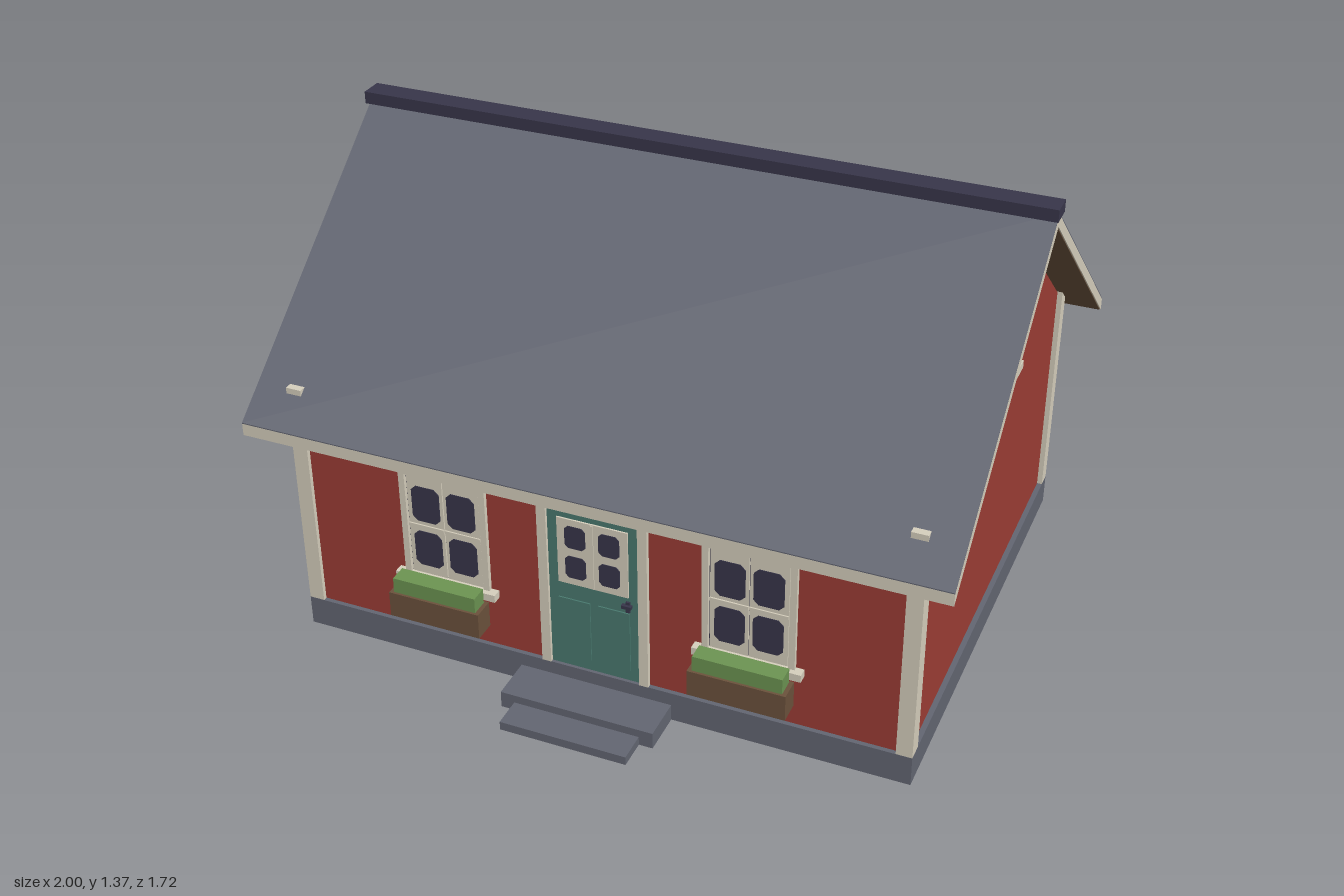
import * as THREE from 'three';

const mat = (name, color, side = THREE.FrontSide) => {
  const m = new THREE.MeshStandardMaterial({ color, side });
  m.name = name;
  return m;
};

export function createModel() {
  const red = mat('red boards', 0x9c3d35);
  const cream = mat('cream trim', 0xd6cfbd);
  const slate = mat('slate', 0x636672, THREE.DoubleSide);
  const navy = mat('dark navy', 0x38364a);
  const teal = mat('teal door', 0x4a7a70);
  const brown = mat('brown wood', 0x6b523c);
  const green = mat('plants', 0x6c9452);

  const model = new THREE.Group();
  model.name = 'cottage';
  const house = new THREE.Group();
  house.name = 'house';
  house.position.z = -0.0625;
  model.add(house);

  const W = 0.885, D = 0.7, BASE = 0.09; // half width, half depth, plinth top
  const PITCH = 0.805, PEAK = 1.343;

  const add = (parent, name, geo, material) => {
    const mesh = new THREE.Mesh(geo, material);
    mesh.name = name;
    parent.add(mesh);
    return mesh;
  };
  // Box given by its extents on each axis
  const box = (parent, name, material, x0, x1, y0, y1, z0, z1) => {
    const geo = new THREE.BoxGeometry(x1 - x0, y1 - y0, z1 - z0);
    geo.translate((x0 + x1) / 2, (y0 + y1) / 2, (z0 + z1) / 2);
    return add(parent, name, geo, material);
  };
  // Box without its underside
  const openBox = (...args) => {
    const mesh = box(...args);
    const index = Array.from(mesh.geometry.index.array);
    index.splice(18, 6);
    mesh.geometry.setIndex(index);
    mesh.geometry.clearGroups();
    return mesh;
  };
  // Outline in (depth, height) extruded along the length of the house
  const prism = (name, pts, halfLength, material) => {
    const shape = new THREE.Shape(pts.map(([x, y]) => new THREE.Vector2(x, y)));
    const geo = new THREE.ExtrudeGeometry(shape, { depth: halfLength * 2, bevelEnabled: false });
    geo.translate(0, 0, -halfLength);
    geo.rotateY(Math.PI / 2);
    return add(house, name, geo, material);
  };

  // Plinth, walls and corner boards
  openBox(house, 'plinth', slate, -0.9, 0.9, 0, BASE, -0.7125, 0.7125);
  const foot = BASE + 0.0005, wallPeak = PEAK - 0.042;
  const wallTop = wallPeak - D * PITCH;
  prism('walls', [[-D, foot], [D, foot], [D, wallTop], [0, wallPeak], [-D, wallTop]], W, red);
  for (const sx of [-1, 1]) for (const sz of [-1, 1]) {
    const x = sx * 0.8775, z = sz * 0.688;
    box(house, 'cornerBoard', cream, x - 0.0225, x + 0.0225, foot, 0.79, z - 0.0245, z + 0.0245);
  }

  // Roof: bargeboard body, slate skin above, wooden soffit below
  const roofLayer = (name, top, thick, half, length, material) => prism(name, [
    [-half, top - half * PITCH - thick], [0, top - thick], [half, top - half * PITCH - thick],
    [half, top - half * PITCH], [0, top], [-half, top - half * PITCH],
  ], length, material);
  roofLayer('roofBody', PEAK, 0.036, 0.797, 0.995, cream);
  roofLayer('roofSlates', PEAK + 0.003, 0.003, 0.797, 0.995, slate);
  roofLayer('soffit', PEAK - 0.036, 0.003, 0.794, 0.992, brown);
  box(house, 'ridgeCap', navy, -1, 1, 1.335, 1.37, -0.035, 0.035);

  // Thin glass pane with clipped corners
  const pane = (parent, x, y, w, h, z) => {
    const a = w / 2, b = h / 2, c = w * 0.17;
    const pts = [[-a + c, -b], [a - c, -b], [a, -b + c], [a, b - c],
      [a - c, b], [-a + c, b], [-a, b - c], [-a, -b + c]];
    const shape = new THREE.Shape(pts.map(([px, py]) => new THREE.Vector2(px, py)));
    const geo = new THREE.ExtrudeGeometry(shape, { depth: 0.003, bevelEnabled: false });
    geo.translate(x, y, z);
    add(parent, 'pane', geo, navy);
  };
  const fourPanes = (parent, cx, cy, dx, dy, w, h, z) => {
    for (const sx of [-1, 1]) for (const sy of [-1, 1]) {
      pane(parent, cx + sx * dx, cy + sy * dy, w, h, z);
    }
  };

  // Window with its centre at the origin, facing +z; w and h are half sizes of the frame
  const makeWindow = (w, h) => {
    const g = new THREE.Group();
    g.name = 'window';
    box(g, 'windowBack', navy, -w + 0.01, w - 0.01, -h, h, -0.005, 0.002);
    for (const s of [-1, 1]) {
      const t = s * (w - 0.009);
      box(g, 'sideTrim', cream, t - 0.009, t + 0.009, -h, h, -0.005, 0.013);
      const c = s * (w - 0.02) / 2, half = (w - 0.02) / 2 - 0.0015;
      box(g, 'sash', cream, c - half, c + half, -h + 0.002, h - 0.022, -0.004, 0.007);
      box(g, 'glazingBar', cream, c - half, c + half, -0.016, -0.006, 0, 0.011);
    }
    box(g, 'topTrim', cream, -w, w, h - 0.018, h, -0.005, 0.014);
    box(g, 'header', cream, -w - 0.025, w + 0.025, h, h + 0.025, -0.005, 0.023);
    box(g, 'sill', cream, -w - 0.023, w + 0.023, -h - 0.023, -h, -0.005, 0.028);
    fourPanes(g, 0, -0.011, w * 0.41, h * 0.43, w * 0.65, h * 0.66, 0.006);
    return g;
  };
  const placeWindow = (w, h, x, y, z, turn) => {
    const g = makeWindow(w, h);
    g.position.set(x, y, z);
    g.rotation.y = turn;
    house.add(g);
  };
  for (const s of [-1, 1]) {
    placeWindow(0.13, 0.17, s * 0.442, 0.448, D, 0);
    placeWindow(0.13, 0.17, s * 0.442, 0.448, -D, Math.PI);
    placeWindow(0.112, 0.133, s * W, 0.958, 0, s * Math.PI / 2);

    // Planter boxes under the front windows
    const x = s * 0.442;
    box(model, 'planter', brown, x - 0.137, x + 0.137, 0.178, 0.256, 0.67, 0.735);
    box(model, 'plants', green, x - 0.125, x + 0.125, 0.256, 0.302, 0.677, 0.728);
  }

  // Front door, facing +z from the wall
  const door = new THREE.Group();
  door.name = 'frontDoor';
  door.position.z = D;
  house.add(door);
  box(door, 'doorLeaf', teal, -0.132, 0.132, foot, 0.607, -0.005, 0.004);
  for (const s of [-1, 1]) {
    box(door, 'doorPost', cream, s * 0.145 - 0.0135, s * 0.145 + 0.0135, foot, 0.625, -0.005, 0.014);
    box(door, 'doorPanel', teal, s * 0.058 - 0.046, s * 0.058 + 0.046, 0.125, 0.317, 0, 0.008);
  }
  box(door, 'doorLintel', cream, -0.1315, 0.1315, 0.605, 0.625, -0.005, 0.013);
  box(door, 'doorHeader', cream, -0.178, 0.178, 0.625, 0.647, -0.005, 0.023);
  box(door, 'doorWindow', cream, -0.102, 0.102, 0.37, 0.578, 0, 0.009);
  box(door, 'doorMullion', cream, -0.004, 0.004, 0.372, 0.576, 0.005, 0.012);
  fourPanes(door, 0, 0.475, 0.049, 0.048, 0.06, 0.07, 0.008);
  box(door, 'handlePlate', navy, 0.094, 0.106, 0.322, 0.356, 0, 0.01);
  box(door, 'handle', navy, 0.084, 0.112, 0.338, 0.348, 0.006, 0.018);

  // Entrance steps
  openBox(model, 'upperStep', slate, -0.225, 0.225, 0, 0.05, 0.65, 0.777);
  openBox(model, 'lowerStep', slate, -0.185, 0.185, 0, 0.026, 0.777, 0.864);

  return model;
}
